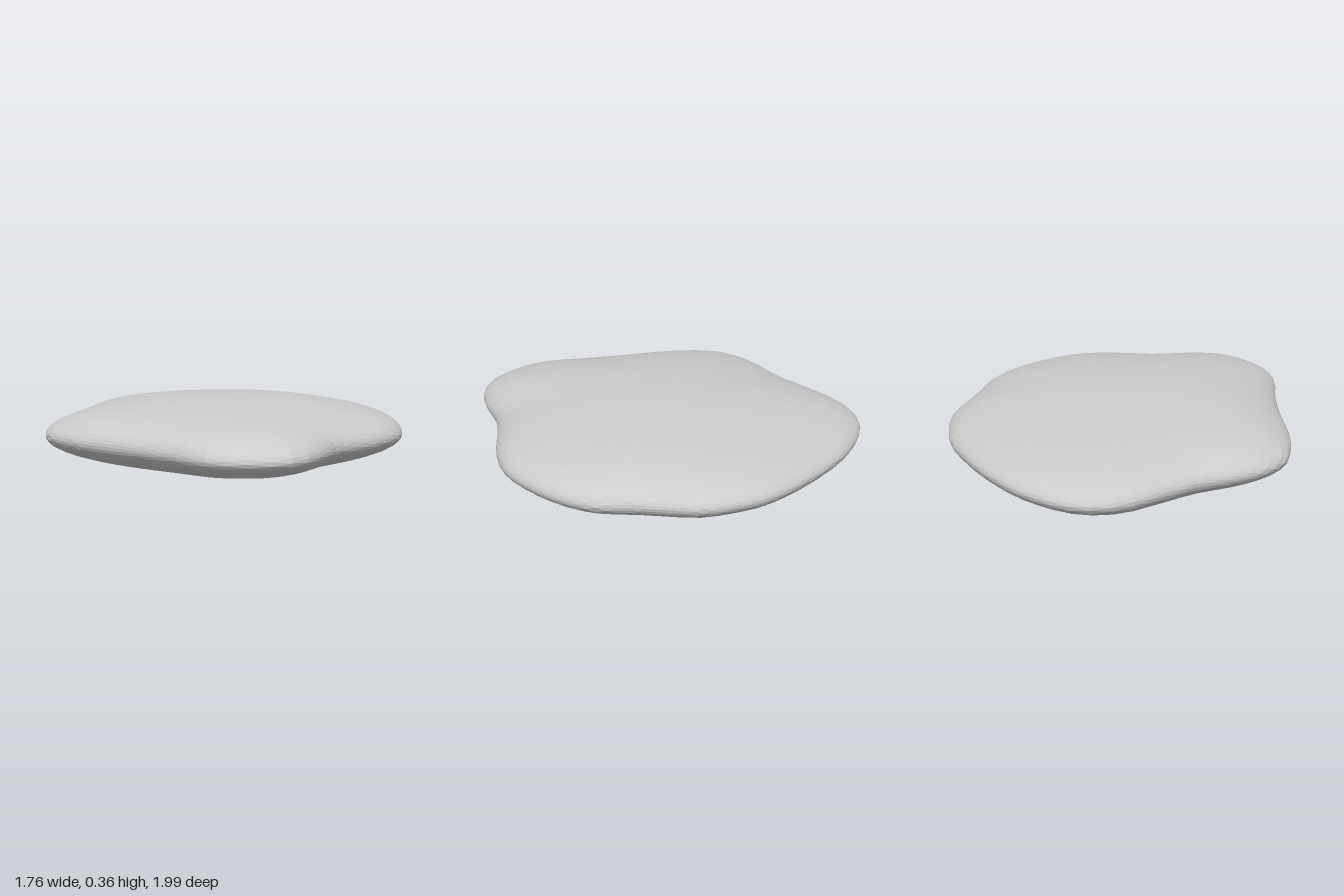
import * as THREE from 'three';

// Plan outline of the pebble as [x, z] pairs, starting at the back
const OUTLINE = [
  [-0.1, -1], [0.1, -0.965], [0.3, -0.88], [0.5, -0.76], [0.65, -0.64], [0.75, -0.5],
  [0.81, -0.38], [0.835, -0.2], [0.85, -0.07], [0.88, 0.08], [0.875, 0.17], [0.84, 0.3],
  [0.76, 0.46], [0.65, 0.6], [0.5, 0.69], [0.35, 0.74], [0.18, 0.8], [0.05, 0.89],
  [-0.07, 0.965], [-0.22, 0.998], [-0.35, 0.95], [-0.43, 0.9], [-0.52, 0.78], [-0.56, 0.66],
  [-0.62, 0.5], [-0.72, 0.29], [-0.82, 0.1], [-0.87, -0.05], [-0.885, -0.17], [-0.84, -0.3],
  [-0.75, -0.42], [-0.62, -0.55], [-0.52, -0.7], [-0.4, -0.88], [-0.3, -0.96], [-0.2, -0.995],
];

const HALF_HEIGHT = 0.18;
const MEAN_RADIUS = 0.9;

// Returns a function giving the outline's radius at any plan angle
function makeRadius() {
  const curve = new THREE.CatmullRomCurve3(
    OUTLINE.map(([x, z]) => new THREE.Vector3(x, 0, z)), true);
  const polar = curve.getPoints(180).slice(0, -1)
    .map((p) => ({ a: Math.atan2(p.z, p.x), r: Math.hypot(p.x, p.z) }))
    .sort((p, q) => p.a - q.a);
  const first = polar[0], last = polar[polar.length - 1];
  polar.unshift({ a: last.a - 2 * Math.PI, r: last.r });
  polar.push({ a: first.a + 2 * Math.PI, r: first.r });
  return (angle) => {
    const i = Math.max(1, polar.findIndex((p) => p.a >= angle));
    const p = polar[i - 1], q = polar[i];
    const t = (angle - p.a) / (q.a - p.a || 1);
    return THREE.MathUtils.lerp(p.r, q.r, t);
  };
}

export function createModel() {
  const group = new THREE.Group();
  group.name = 'pebble';

  // Faceted ball, flattened and pushed out to the outline; lobes fade towards the poles
  const radiusAt = makeRadius();
  const geometry = new THREE.IcosahedronGeometry(1, 11);
  const pos = geometry.attributes.position;
  for (let i = 0; i < pos.count; i++) {
    const x = pos.getX(i), y = pos.getY(i), z = pos.getZ(i);
    const c = Math.hypot(x, z);
    const angle = Math.atan2(z, x);
    const r = c * THREE.MathUtils.lerp(MEAN_RADIUS, radiusAt(angle), c);
    const pz = r * Math.sin(angle);
    const tilt = 0.015 * pz * Math.abs(y);
    pos.setXYZ(i, r * Math.cos(angle), HALF_HEIGHT * (1 + y) + tilt, pz);
  }
  geometry.computeVertexNormals();

  const stone = new THREE.Mesh(
    geometry, new THREE.MeshStandardMaterial({ color: 0xcccccc, flatShading: true }));
  stone.name = 'stone';
  group.add(stone);
  return group;
}
